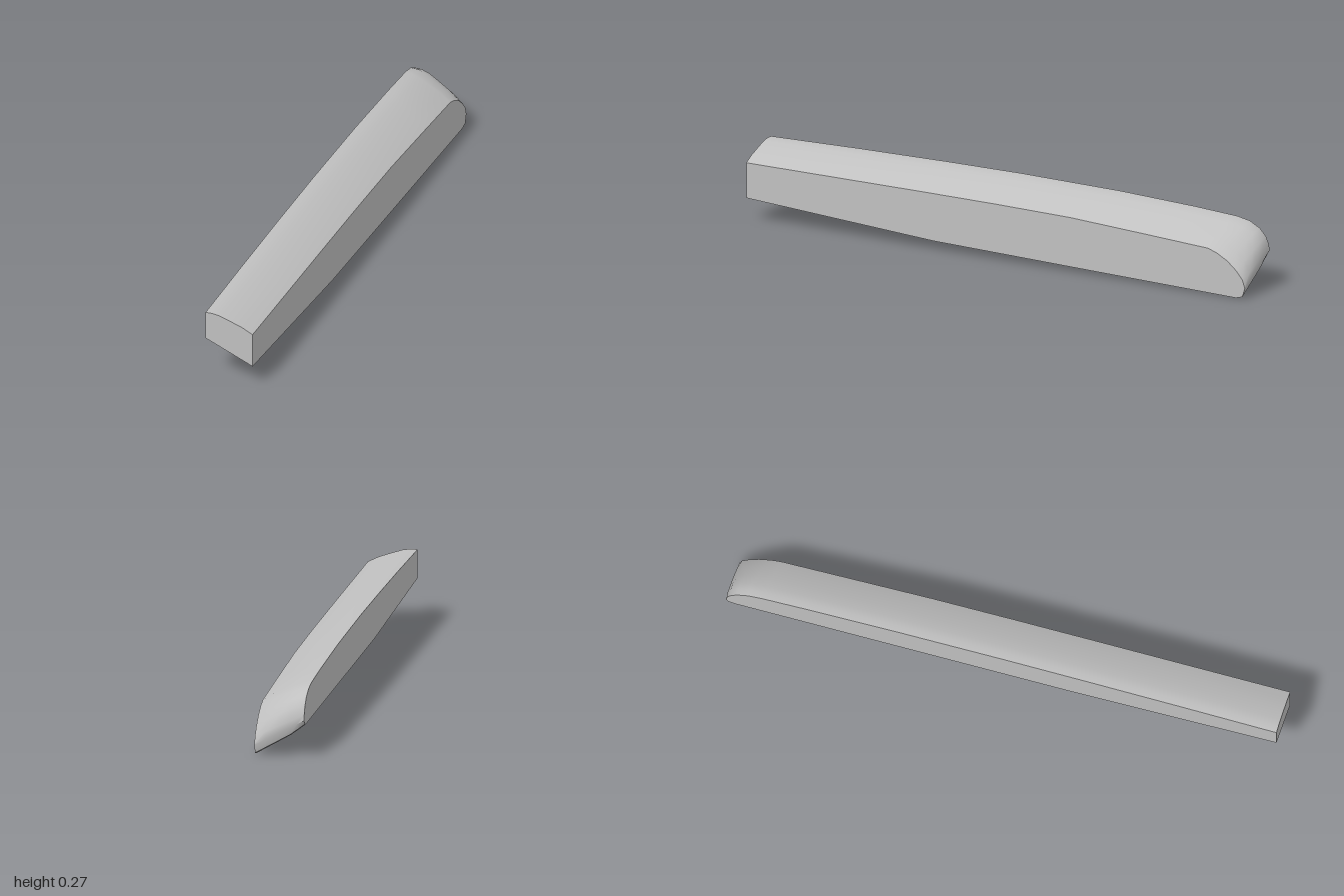
import * as THREE from 'three';
import { toCreasedNormals } from 'three/addons/utils/BufferGeometryUtils.js';

// Matching side outlines as [z, y], from the front bottom over the top and round the rear
const highSide = [
  [1, 0.16], [1, 0.263], [0.65, 0.269], [0.3, 0.272], [0, 0.272], [-0.4, 0.265], [-0.7, 0.252], [-0.87, 0.241],
  [-0.92, 0.231], [-0.96, 0.21], [-0.985, 0.183], [-0.997, 0.155], [-1, 0.135], [-0.99, 0.12], [-0.965, 0.115],
  [-0.4, 0.121], [0.25, 0.128],
];
const lowSide = [
  [1, 0.083], [1, 0.211], [0.65, 0.209], [0.3, 0.207], [0, 0.204], [-0.3, 0.198], [-0.6, 0.181], [-0.85, 0.166],
  [-0.885, 0.155], [-0.93, 0.13], [-0.965, 0.1], [-0.99, 0.07], [-1, 0.04], [-0.99, 0.008], [-0.965, 0.001],
  [-0.4, 0.016], [0.25, 0.034],
];
// Stations across the width: [x, bulge of the top, bulge of the underside]
const stations = [
  [-0.089, 0, 0], [-0.065, 0.008, 0.004], [-0.037, 0.012, 0.007], [0, 0.011, 0.005], [0.05, 0.008, 0.002], [0.088, 0, 0],
];

function section([x, top, under]) {
  const t = (x + 0.089) / 0.177;
  return highSide.map(([z, y], j) => {
    const bulge = j >= 1 && j <= 10 ? top : j >= 13 ? -under : 0;
    const back = j >= 8 && j <= 12 ? top * 0.8 : 0;
    return [
      x,
      THREE.MathUtils.lerp(y, lowSide[j][1], t) + bulge,
      Math.max(-1, THREE.MathUtils.lerp(z, lowSide[j][0], t) - back),
    ];
  });
}

function loftGeometry() {
  const sections = stations.map(section);
  const n = highSide.length;
  const index = [];
  // Skin between neighbouring sections
  for (let i = 0; i < sections.length - 1; i++) {
    for (let j = 0; j < n; j++) {
      const k = (j + 1) % n;
      const a = i * n + j, b = i * n + k, c = b + n, d = a + n;
      index.push(a, d, c, a, c, b);
    }
  }
  // Flat sides
  const cap = (outline, offset, flip) => {
    const points = outline.map(([z, y]) => new THREE.Vector2(-z, y)).reverse();
    for (const face of THREE.ShapeUtils.triangulateShape(points, [])) {
      const [a, b, c] = face.map((v) => offset + n - 1 - v);
      index.push(...(flip ? [a, c, b] : [a, b, c]));
    }
  };
  cap(highSide, 0, true);
  cap(lowSide, (sections.length - 1) * n, false);

  const geometry = new THREE.BufferGeometry();
  geometry.setAttribute('position', new THREE.Float32BufferAttribute(sections.flat(2), 3));
  geometry.setIndex(index);
  return toCreasedNormals(geometry, 0.6);
}

export function createModel() {
  const group = new THREE.Group();
  const grey = new THREE.MeshStandardMaterial({ color: 0xc0c0c0 });
  grey.name = 'light grey';
  const body = new THREE.Mesh(loftGeometry(), grey);
  body.name = 'slantedBar';
  group.add(body);
  return group;
}
